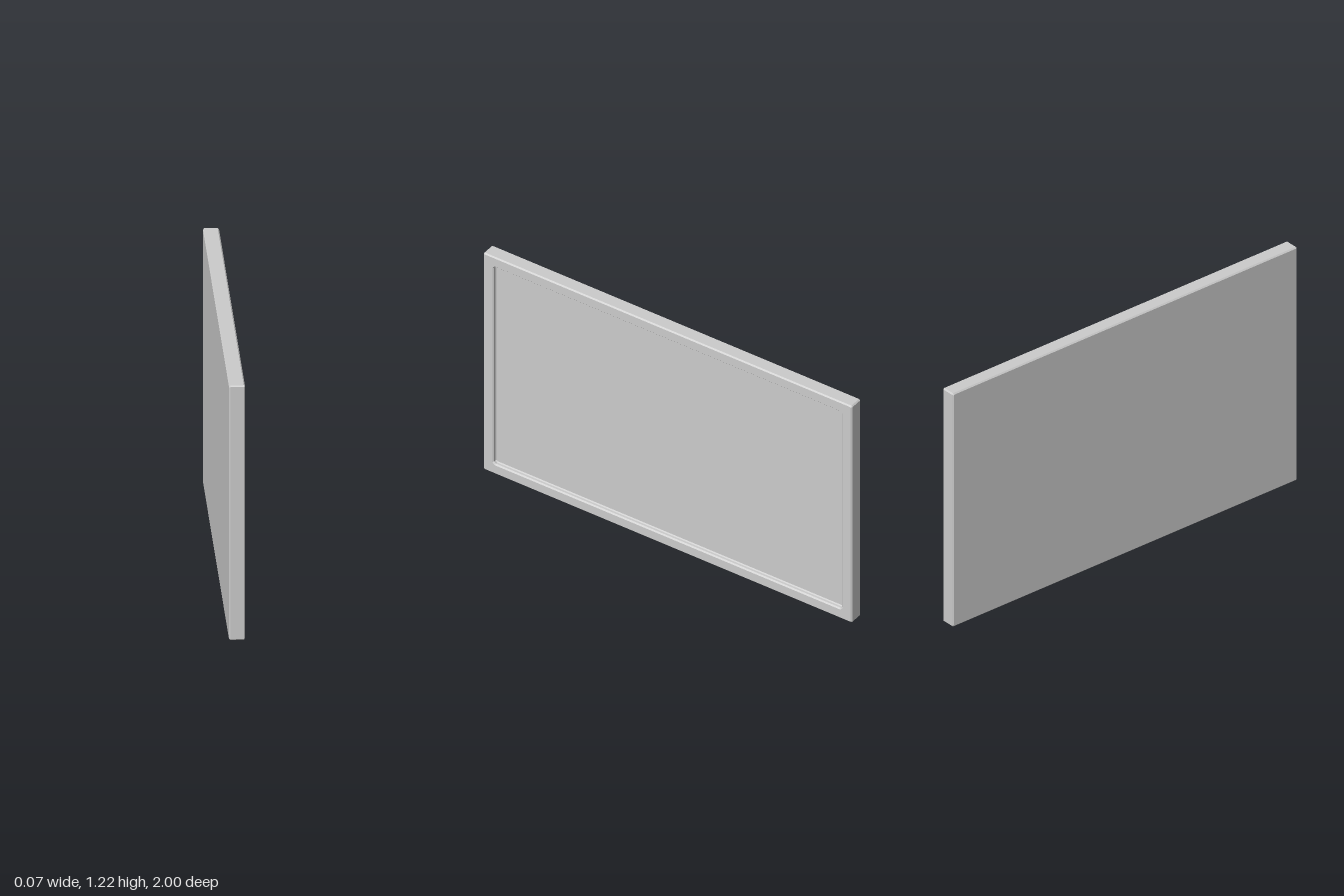
import * as THREE from 'three';

const HEIGHT = 1.216, HALF_Z = 1, HALF_X = 0.036;

// Rectangular loop with cut corners, counter-clockwise seen from +x
function rectLoop([x, inset, cut]) {
  const h = HEIGHT / 2 - inset, w = HALF_Z - inset, mid = HEIGHT / 2;
  return [
    [h, -w + cut], [h, w - cut], [h - cut, w], [-h + cut, w],
    [-h, w - cut], [-h, -w + cut], [-h + cut, -w], [h - cut, -w],
  ].map(([y, z]) => new THREE.Vector3(x, mid + y, z));
}

// Skin a sequence of loops, optionally closing the first and last
function skin(sections, capStart, capEnd) {
  const loops = sections.map(rectLoop), pos = [];
  const tri = (...pts) => pts.forEach((p) => pos.push(p.x, p.y, p.z));
  const n = loops[0].length;
  for (let k = 0; k + 1 < loops.length; k++) {
    const a = loops[k], b = loops[k + 1];
    for (let i = 0; i < n; i++) {
      const j = (i + 1) % n;
      tri(a[i], a[j], b[j]);
      tri(a[i], b[j], b[i]);
    }
  }
  const first = loops[0], last = loops[loops.length - 1];
  for (let i = 1; i + 1 < n; i++) {
    if (capStart) tri(first[0], first[i + 1], first[i]);
    if (capEnd) tri(last[0], last[i], last[i + 1]);
  }
  const geo = new THREE.BufferGeometry();
  geo.setAttribute('position', new THREE.Float32BufferAttribute(pos, 3));
  geo.computeVertexNormals();
  return geo;
}

export function createModel() {
  const group = new THREE.Group();
  group.name = 'framedPanel';
  const material = new THREE.MeshStandardMaterial({ color: 0xcccccc, flatShading: true });
  const add = (name, geo) => {
    const mesh = new THREE.Mesh(geo, material);
    mesh.name = name;
    group.add(mesh);
  };

  // Bevelled slab with a raised rim; sections are [x, inset, corner cut]
  add('frame', skin([
    [-HALF_X, 0.006, 0.003],
    [-HALF_X + 0.006, 0, 0.006],
    [HALF_X - 0.006, 0, 0.006],
    [HALF_X, 0.006, 0.003],
    [HALF_X, 0.05, 0.012],
    [HALF_X - 0.006, 0.056, 0.009],
    [HALF_X - 0.016, 0.056, 0.009],
    [HALF_X - 0.02, 0.061, 0.006],
  ], true, false));

  // Flat recessed face
  add('recessedPanel', skin([[HALF_X - 0.02, 0.061, 0.006]], false, true));

  return group;
}
